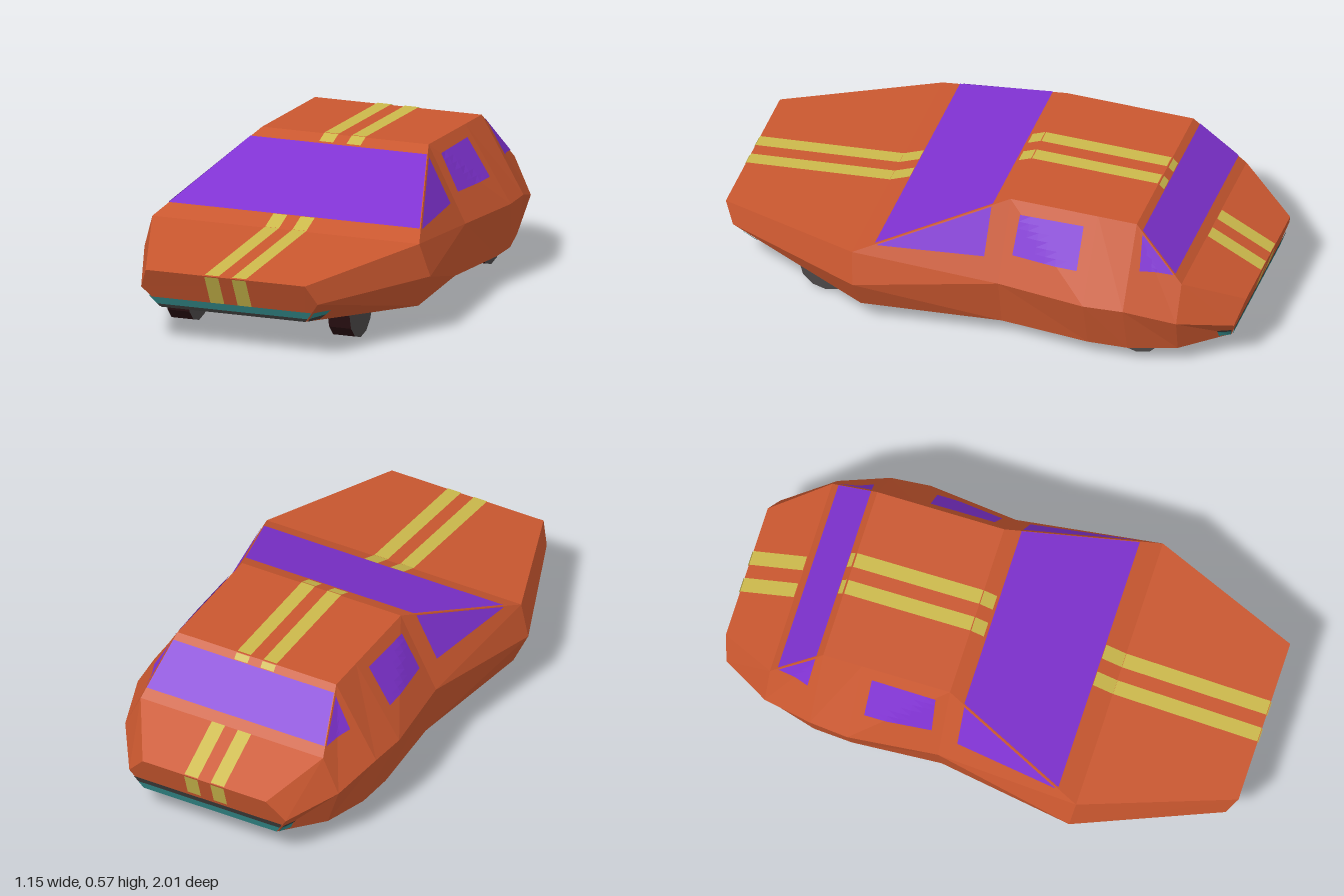
import * as THREE from 'three';

const mat = (name, color, side = THREE.FrontSide) => {
  const m = new THREE.MeshStandardMaterial({ color, side });
  m.name = name;
  return m;
};

// Hull stations, front to back: [x, y, z] of shoulder, waist and sill on the left side
const STATIONS = [
  [[0.32, 0.28, 1.0], [0.355, 0.205, 0.961], [0.29, 0.125, 0.92]],
  [[0.537, 0.335, 0.44], [0.575, 0.212, 0.425], [0.52, 0.092, 0.41]],
  [[0.335, 0.567, -0.11], [0.483, 0.28, -0.11], [0.44, 0.077, -0.11]],
  [[0.335, 0.567, -0.45], [0.517, 0.28, -0.45], [0.46, 0.075, -0.45]],
  [[0.335, 0.567, -0.6], [0.503, 0.28, -0.6], [0.45, 0.075, -0.6]],
  [[0.385, 0.37, -0.79], [0.45, 0.23, -0.79], [0.4, 0.081, -0.78]],
  [[0.26, 0.26, -1.0], [0.33, 0.18, -0.975], [0.28, 0.1, -0.95]],
];

function geometryFrom(triangles) {
  const g = new THREE.BufferGeometry();
  g.setAttribute('position', new THREE.Float32BufferAttribute(triangles.flat(2), 3));
  g.computeVertexNormals();
  return g;
}

// Faceted hull skinned over the stations, with both ends closed
function hullGeometry() {
  const rings = STATIONS.map((s) => [...s, ...[...s].reverse().map(([x, y, z]) => [-x, y, z])]);
  const tris = [];
  for (let i = 0; i < rings.length - 1; i++) {
    for (let j = 0; j < 6; j++) {
      const k = (j + 1) % 6;
      const a = rings[i][j], b = rings[i][k], c = rings[i + 1][k], d = rings[i + 1][j];
      if (j < 3) tris.push([a, b, c], [a, c, d]);
      else tris.push([a, b, d], [b, c, d]);
    }
  }
  const nose = rings[0], tail = rings[rings.length - 1];
  for (let k = 1; k < 5; k++) {
    tris.push([nose[0], nose[k + 1], nose[k]], [tail[0], tail[k], tail[k + 1]]);
  }
  return geometryFrom(tris);
}

// Where a flat point is looked up on the hull: ray start and direction
const PROJECT = {
  top: ([x, z]) => [[x, 3, z], [0, -1, 0]],
  front: ([x, y]) => [[x, y, 3], [0, 0, -1]],
  back: ([x, y]) => [[x, y, -3], [0, 0, 1]],
  left: ([z, y]) => [[3, y, z], [-1, 0, 0]],
  right: ([z, y]) => [[-3, y, z], [1, 0, 0]],
};

export function createModel() {
  const car = new THREE.Group();
  car.name = 'car';
  const paint = mat('orange paint', 0xc9572f);
  const glass = mat('purple glass', 0x8032d2, THREE.DoubleSide);
  const yellow = mat('yellow stripe', 0xcbb84b, THREE.DoubleSide);
  const teal = mat('teal bumper', 0x338a8a, THREE.DoubleSide);
  const trim = mat('dark grey trim', 0x3c3c3a, THREE.DoubleSide);
  const tyre = mat('tyre', 0x2a1012);
  const hub = mat('grey hub', 0x4a4747);

  const body = new THREE.Mesh(hullGeometry(), paint);
  body.name = 'body';
  car.add(body);

  // Thin panel: a four-cornered outline laid onto the hull, n by n cells
  const caster = new THREE.Raycaster();
  function panel(name, material, view, corners, n = 1) {
    const [p, q, r, s] = corners;
    const mix = (a, b, t) => [a[0] + (b[0] - a[0]) * t, a[1] + (b[1] - a[1]) * t];
    const onHull = (u, v) => {
      const [from, dir] = PROJECT[view](mix(mix(p, q, u / n), mix(s, r, u / n), v / n));
      caster.set(new THREE.Vector3(...from), new THREE.Vector3(...dir));
      const hit = caster.intersectObject(body)[0];
      return hit ? hit.point.addScaledVector(hit.face.normal, 0.004).toArray() : null;
    };
    const tris = [];
    for (let u = 0; u < n; u++) {
      for (let v = 0; v < n; v++) {
        const a = onHull(u, v), b = onHull(u + 1, v), c = onHull(u + 1, v + 1), d = onHull(u, v + 1);
        if (a && b && c && d) tris.push([a, b, c], [a, c, d]);
      }
    }
    const mesh = new THREE.Mesh(geometryFrom(tris), material);
    mesh.name = name;
    car.add(mesh);
  }
  // Symmetric panel between two levels with half-widths w0 and w1
  const band = (name, material, view, w0, l0, w1, l1) =>
    panel(name, material, view, [[-w0, l0], [w0, l0], [w1, l1], [-w1, l1]]);

  // Windscreen and rear window
  band('windscreen', glass, 'top', 0.504, 0.36, 0.355, -0.05);
  band('rearWindow', glass, 'top', 0.339, -0.622, 0.375, -0.76);

  // Side windows and bumper ends, the same on both sides
  for (const side of ['left', 'right']) {
    panel(side + 'FrontWindow', glass, side, [[0.35, 0.367], [-0.045, 0.367], [-0.045, 0.535], [0.35, 0.37]], 10);
    panel(side + 'DoorWindow', glass, side, [[-0.15, 0.386], [-0.405, 0.386], [-0.403, 0.528], [-0.157, 0.524]], 6);
    panel(side + 'RearWindow', glass, side, [[-0.625, 0.535], [-0.635, 0.412], [-0.757, 0.4], [-0.75, 0.408]], 6);
    panel(side + 'FrontBumperEnd', teal, side, [[0.925, 0.142], [0.865, 0.15], [0.865, 0.168], [0.938, 0.168]]);
    panel(side + 'FrontTrimEnd', trim, side, [[0.918, 0.128], [0.87, 0.132], [0.865, 0.15], [0.925, 0.142]]);
    panel(side + 'RearBumperEnd', teal, side, [[-0.948, 0.104], [-0.91, 0.108], [-0.91, 0.135], [-0.957, 0.133]]);
    panel(side + 'RearTrimEnd', trim, side, [[-0.957, 0.133], [-0.91, 0.135], [-0.91, 0.148], [-0.96, 0.148]]);
  }

  // Bumper strips across nose and tail
  band('frontBumper', teal, 'front', 0.301, 0.14, 0.324, 0.168);
  band('frontTrim', trim, 'front', 0.29, 0.127, 0.301, 0.14);
  band('rearBumper', teal, 'back', 0.28, 0.103, 0.298, 0.133);
  band('rearTrim', trim, 'back', 0.298, 0.133, 0.312, 0.156);

  // Twin stripes, one run for each hull face: [view, start, end]
  const runs = [
    ['front', 0.168, 0.279], ['top', 0.998, 0.441], ['top', 0.439, 0.362],
    ['top', -0.06, -0.109], ['top', -0.111, -0.598], ['top', -0.602, -0.62],
    ['top', -0.791, -0.998], ['back', 0.259, 0.17],
  ];
  for (const x of [-0.055, 0.055]) {
    for (const [view, a, b] of runs) {
      panel('stripe', yellow, view, [[x - 0.028, a], [x + 0.028, a], [x + 0.028, b], [x - 0.028, b]]);
    }
  }

  // Wheels
  const wheelGeometry = new THREE.CylinderGeometry(0.104, 0.104, 0.088, 12).toNonIndexed();
  wheelGeometry.computeVertexNormals();
  wheelGeometry.rotateZ(Math.PI / 2);
  for (const x of [-0.325, 0.325]) {
    for (const z of [0.595, -0.61]) {
      const wheel = new THREE.Mesh(wheelGeometry, [tyre, hub, hub]);
      wheel.name = z > 0 ? 'frontWheel' : 'rearWheel';
      wheel.position.set(x, 0.104, z);
      car.add(wheel);
    }
  }
  return car;
}
